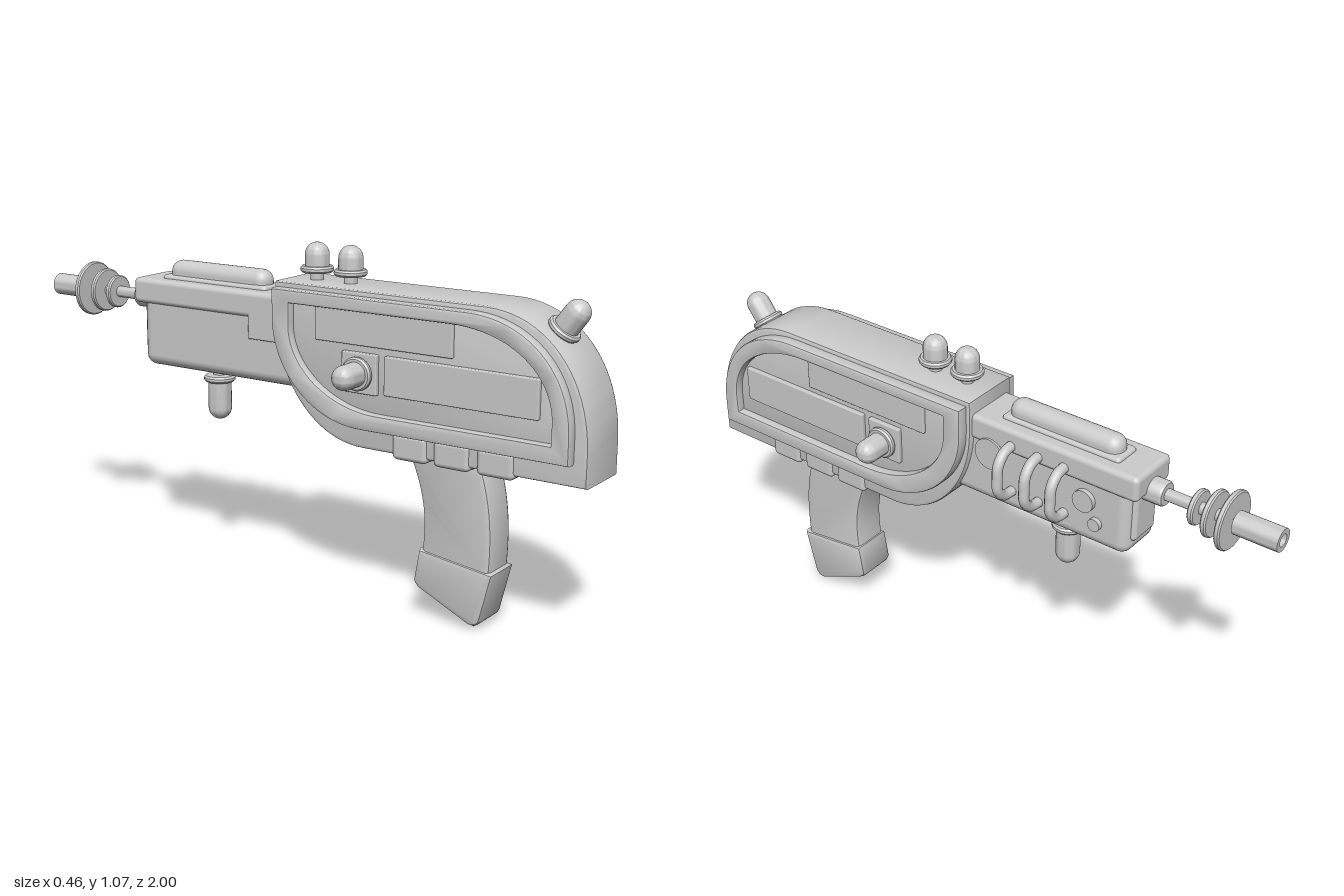
import * as THREE from 'three';
import { toCreasedNormals } from 'three/addons/utils/BufferGeometryUtils.js';
import { RoundedBoxGeometry } from 'three/addons/geometries/RoundedBoxGeometry.js';

const mat = new THREE.MeshStandardMaterial({ color: 0xcccccc, side: THREE.DoubleSide });

export function createModel() {
  const model = new THREE.Group();

  function add(name, geometry, x = 0, y = 0, z = 0) {
    const mesh = new THREE.Mesh(geometry, mat);
    mesh.name = name;
    mesh.position.set(x, y, z);
    model.add(mesh);
    return mesh;
  }

  // Box given by its extents
  function box(name, [x0, x1], [y0, y1], [z0, z1], r = 0.01) {
    return add(name, new RoundedBoxGeometry(x1 - x0, y1 - y0, z1 - z0, 3, r),
      (x0 + x1) / 2, (y0 + y1) / 2, (z0 + z1) / 2);
  }

  // Side profile drawn in (z, y), extruded across x
  function slab(name, shape, x0, x1, bevel = 0.008) {
    const g = new THREE.ExtrudeGeometry(shape, {
      depth: x1 - x0 - 2 * bevel, bevelThickness: bevel, bevelSize: bevel,
      bevelOffset: -bevel, bevelSegments: 2, curveSegments: 20,
    });
    g.translate(0, 0, -(x1 - x0) / 2 + bevel).rotateY(-Math.PI / 2);
    return add(name, toCreasedNormals(g, 0.6), (x0 + x1) / 2);
  }

  // Body outline: rounded at the upper rear and the lower front
  function outline(path, zr, zf, y0, y1) {
    const h = y1 - y0;
    path.moveTo(zr, y0);
    path.lineTo(zr, y0 + h * 0.2);
    path.bezierCurveTo(zr, y0 + h * 0.68, zr - 0.14, y1, zr - 0.32, y1);
    path.lineTo(zf, y1);
    path.lineTo(zf, y0 + h * 0.78);
    path.bezierCurveTo(zf, y0 + h * 0.36, zf + 0.14, y0, zf + 0.31, y0);
    path.lineTo(zr, y0);
    return path;
  }

  // Lathe around y, with creased edges
  function lathe(points) {
    const g = new THREE.LatheGeometry(points.map(p => new THREE.Vector2(...p)), 28);
    return toCreasedNormals(g, 0.6);
  }

  // Round-ended knob on a flange, rising from its local origin
  function knob(name, length, r = 0.037, flange = 0.05) {
    const pts = [[0.02, -0.02], [0.02, 0.02], [flange - 0.005, 0.022], [flange, 0.028],
      [flange, 0.036], [flange - 0.005, 0.042], [r, 0.042]];
    for (let i = 0; i <= 8; i++) {
      const a = (i / 8) * Math.PI / 2;
      pts.push([i === 8 ? 0 : r * Math.cos(a), length - r + r * Math.sin(a)]);
    }
    return add(name, lathe(pts));
  }

  // Main body
  slab('body', outline(new THREE.Shape(), 1, -0.03, 0.495, 0.96), -0.1, 0.1, 0.01);

  // Side rims, recessed panels and side knobs, mirrored
  for (const s of [-1, 1]) {
    const side = (a, b) => (s > 0 ? [a, b] : [-b, -a]);
    const rim = outline(new THREE.Shape(), 0.96, -0.018, 0.56, 0.945);
    rim.holes.push(outline(new THREE.Path(), 0.905, 0.045, 0.61, 0.905));
    slab('sideRim', rim, ...side(0.09, 0.135));
    slab('sidePanel', outline(new THREE.Shape(), 0.93, 0, 0.585, 0.925), ...side(0.09, 0.108), 0.002);
    box('upperPanel', side(0.09, 0.118), [0.805, 0.905], [0.13, 0.59], 0.004);
    box('lowerPanel', side(0.09, 0.122), [0.67, 0.785], [0.37, 0.86], 0.004);
    box('knobPlate', side(0.09, 0.122), [0.665, 0.785], [0.225, 0.345], 0.004);
    const k = knob('sideKnob', 0.132);
    k.position.set(s * 0.1, 0.725, 0.285);
    k.rotation.z = -s * Math.PI / 2;
  }

  // Knobs on the top and rear
  for (const z of [0.175, 0.055]) knob('topKnob', 0.112).position.set(0, 0.96, z);
  const rear = knob('rearKnob', 0.13);
  rear.position.set(0, 0.877, 0.85);
  rear.rotation.x = 0.64;

  // Brackets under the body
  for (const z of [0.725, 0.585, 0.448])
    box('bracket', [-0.108, 0.108], [0.482, 0.562], [z - 0.058, z + 0.058], 0.015);

  // Curved grip
  const grip = new THREE.Shape();
  grip.moveTo(0.645, 0.52);
  grip.bezierCurveTo(0.69, 0.42, 0.705, 0.31, 0.692, 0.16);
  grip.lineTo(0.465, 0.18);
  grip.bezierCurveTo(0.48, 0.29, 0.48, 0.38, 0.405, 0.52);
  slab('grip', grip, -0.06, 0.06, 0.014);

  // Grip cap and its sole
  const cap = new THREE.Shape();
  cap.moveTo(0.708, 0.18);
  cap.lineTo(0.463, 0.212);
  cap.lineTo(0.446, 0.115);
  cap.quadraticCurveTo(0.45, 0.1, 0.465, 0.09);
  cap.lineTo(0.63, 0.014);
  cap.quadraticCurveTo(0.66, 0.006, 0.672, 0.035);
  slab('gripCap', cap, -0.069, 0.069, 0.015);
  const sole = new THREE.Shape();
  sole.moveTo(0.635, 0);
  sole.lineTo(0.655, 0.04);
  sole.lineTo(0.5, 0.11);
  sole.lineTo(0.48, 0.072);
  slab('gripSole', sole, -0.038, 0.038, 0.004);

  // Fore housing with its overhanging upper shell
  box('foreHousing', [-0.08, 0.08], [0.635, 0.89], [-0.568, 0.1], 0.035);
  box('upperShell', [-0.088, 0.088], [0.835, 0.915], [-0.597, 0], 0.016);
  box('shellStep', [-0.088, -0.06], [0.77, 0.86], [-0.14, 0], 0.004);
  box('housingEnd', [-0.055, 0.055], [0.68, 0.85], [-0.58, -0.5], 0.015);

  // Sight rail on top
  box('railBase', [-0.047, 0.047], [0.9, 0.927], [-0.51, -0.105], 0.012);
  box('rail', [-0.037, 0.037], [0.89, 0.972], [-0.497, -0.115], 0.036);

  // Hoops and round caps on the left side
  for (const z of [-0.17, -0.265, -0.355]) {
    const hoop = new THREE.CatmullRomCurve3([[0.065, 0.705], [0.12, 0.712], [0.15, 0.745],
      [0.152, 0.785], [0.148, 0.825], [0.12, 0.857], [0.065, 0.864]]
      .map(([x, y]) => new THREE.Vector3(x, y, z)));
    add('hoop', new THREE.TubeGeometry(hoop, 28, 0.016, 12));
  }
  for (const [z, y, r] of [[-0.095, 0.81, 0.05], [-0.425, 0.78, 0.035], [-0.465, 0.715, 0.02]])
    add('roundCap', new THREE.CylinderGeometry(r, r, 0.03, 28).rotateZ(Math.PI / 2), 0.08, y, z);

  // Hanging knob below the fore housing
  const low = knob('lowerKnob', 0.165);
  low.position.set(0, 0.64, -0.32);
  low.rotation.x = Math.PI;

  // Barrel: collar, rod, fins and hollow muzzle, turned to face -z
  const barrel = (name, points) => {
    const m = add(name, lathe(points), 0, 0.843, 0);
    m.rotation.x = -Math.PI / 2;
  };
  barrel('collar', [[0, 0.58], [0.038, 0.58], [0.038, 0.636], [0.034, 0.642], [0, 0.642]]);
  barrel('rod', [[0.018, 0.62], [0.018, 0.88]]);
  for (const [z, r] of [[0.742, 0.053], [0.793, 0.07], [0.846, 0.088]])
    barrel('fin', [[0, z - 0.009], [r - 0.004, z - 0.009], [r, z - 0.005],
      [r, z + 0.005], [r - 0.004, z + 0.009], [0, z + 0.009]]);
  barrel('muzzle', [[0, 0.862], [0.035, 0.862], [0.035, 1], [0.019, 1], [0.019, 0.92], [0, 0.92]]);

  return model;
}
